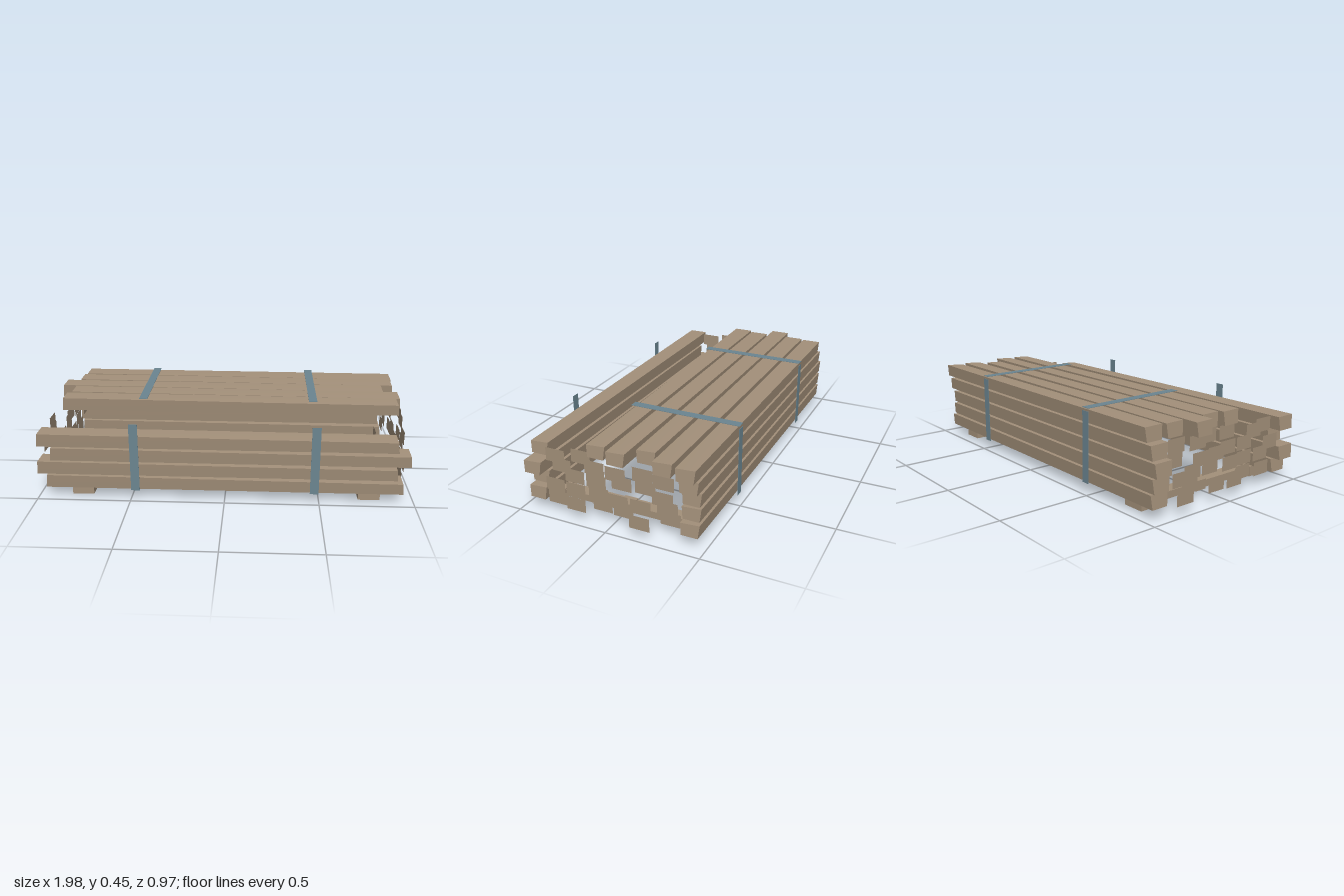
import * as THREE from 'three';

export function createModel() {
  const model = new THREE.Group();
  model.name = 'timberStack';
  const wood = new THREE.MeshStandardMaterial({ color: 0xa3907a, side: THREE.DoubleSide });
  wood.name = 'weathered wood';
  const steel = new THREE.MeshStandardMaterial({ color: 0x6b8590, side: THREE.DoubleSide });
  steel.name = 'blue grey strap';

  const add = (name, geometry, material, x, y, z) => {
    const mesh = new THREE.Mesh(geometry, material);
    mesh.name = name;
    mesh.position.set(x, y, z);
    model.add(mesh);
    return mesh;
  };
  const box = (name, material, x0, x1, y0, y1, z0, z1) =>
    add(name, new THREE.BoxGeometry(x1 - x0, y1 - y0, z1 - z0), material,
      (x0 + x1) / 2, (y0 + y1) / 2, (z0 + z1) / 2);

  // Small repeatable variation for the hidden rows' end faces
  let seed = 7;
  const random = () => (seed = (seed * 16807) % 2147483647) / 2147483647;

  const PITCH = 0.12;
  const HEIGHT = 0.072;
  const rowY = (row) => 0.091 + row * 0.0775;

  // Rough-sawn beam: narrower open underside, slanted ends, slight taper and roll towards +x
  const beam = (name, x0, x1, row, z) => {
    const length = x1 - x0;
    const geometry = new THREE.BoxGeometry(length, HEIGHT, 0.106);
    const faces = Array.from(geometry.index.array);
    faces.splice(18, 6); // underside
    geometry.setIndex(faces);
    geometry.clearGroups();
    const p = geometry.attributes.position;
    for (let i = 0; i < p.count; i++) {
      const right = p.getX(i) > 0;
      const front = p.getZ(i) > 0;
      if (p.getY(i) > 0) {
        p.setX(i, p.getX(i) * (1 - 0.014 / length));
        if (right) p.setY(i, p.getY(i) - (front ? 0.011 : 0.004));
      } else {
        p.setZ(i, p.getZ(i) * 0.86);
      }
      p.setZ(i, p.getZ(i) * (right ? 0.95 : 1) + (right ? 0.003 : -0.003));
    }
    geometry.computeVertexNormals();
    add(name, geometry, wood, (x0 + x1) / 2, rowY(row), z);
  };

  // Front and back walls of beams, bottom row first
  [[-0.955, 0.942], [-1, 0.907], [-0.925, 0.972], [-0.992, 0.902]]
    .forEach(([a, b], row) => beam('frontBeam', a, b, row, 0.42));
  [[-0.95, 0.935], [-0.96, 0.915], [-0.975, 0.91], [-0.945, 0.945]]
    .forEach(([a, b], row) => beam('backBeam', a, b, row, -0.42));

  // Partial top layer, from the back towards the middle
  [[-0.905, 0.98], [-0.918, 0.97], [-0.993, 0.9], [-0.915, 0.977], [-0.938, 0.952]]
    .forEach(([a, b], i) => beam('topBeam', a, b, 4, -0.42 + i * PITCH));

  // End faces of the inner beams
  for (let row = 0; row < 4; row++) {
    for (let col = 0; col < 6; col++) {
      const shift = (random() - 0.5) * 0.1;
      for (const side of [-1, 1]) {
        const face = add('beamEnd', new THREE.PlaneGeometry(0.108, HEIGHT), wood,
          side * 0.94 + shift, rowY(row), -0.3 + col * PITCH);
        face.rotation.y = side * Math.PI / 2;
      }
    }
  }

  // Bearers with three blocks each
  for (const side of [-1, 1]) {
    const x = side * 0.768;
    box('bearer', wood, x - 0.036, x + 0.036, 0.01, 0.048, -0.42, 0.42);
    for (const z of [-0.388, 0.388]) {
      box('bearerFoot', wood, x - 0.058, x + 0.058, 0, 0.055, z - 0.037, z + 0.037);
    }
    box('middleFoot', wood, x - 0.036, x + 0.036, 0, 0.054, -0.037, 0.037);
  }

  // Flat straps on front, back and top
  for (const side of [-1, 1]) {
    const x0 = side * 0.473 - 0.023;
    const x1 = side * 0.473 + 0.023;
    box('frontStrap', steel, x0, x1, 0.055, 0.428, 0.481, 0.483);
    box('backStrap', steel, x0, x1, 0.055, 0.428, -0.483, -0.481);
    box('topStrap', steel, x0, x1, 0.444, 0.446, -0.483, 0.122);
  }

  return model;
}
